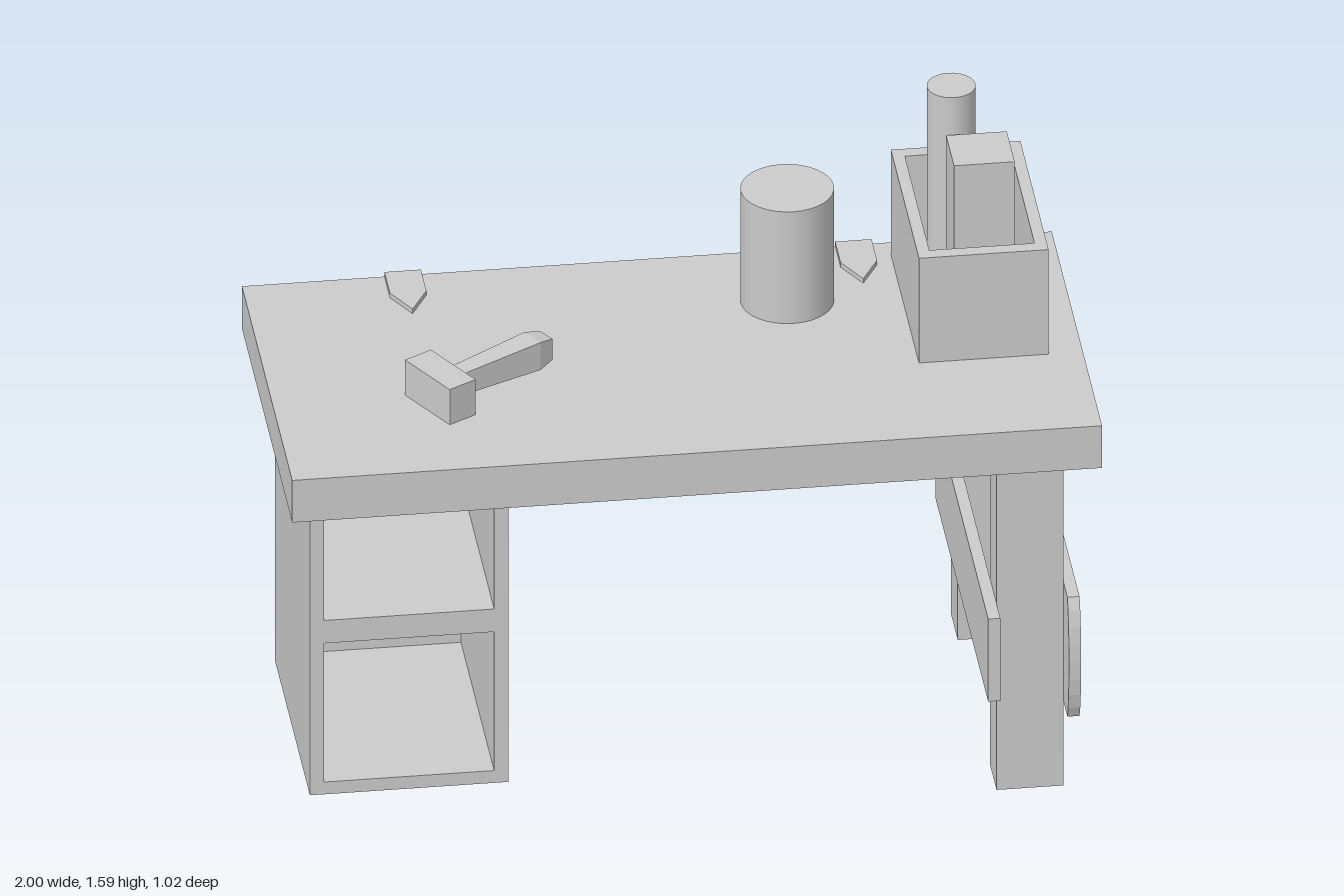
import * as THREE from 'three';

const material = new THREE.MeshStandardMaterial({ color: 0xcccccc, side: THREE.DoubleSide });
const FACES = ['right', 'left', 'top', 'bottom', 'front', 'back'];

function addMesh(parent, name, geometry) {
  const mesh = new THREE.Mesh(geometry, material);
  mesh.name = name;
  parent.add(mesh);
  return mesh;
}

// Box between two corners per axis; the faces listed in `open` are left out.
function addBox(parent, name, [x0, x1], [y0, y1], [z0, z1], open = []) {
  const geo = new THREE.BoxGeometry(x1 - x0, y1 - y0, z1 - z0);
  const index = Array.from(geo.index.array);
  geo.setIndex(index.filter((_, i) => !open.includes(FACES[Math.floor(i / 6)])));
  geo.clearGroups();
  geo.translate((x0 + x1) / 2, (y0 + y1) / 2, (z0 + z1) / 2);
  return addMesh(parent, name, geo);
}

function addCylinder(parent, name, radius, x, z, [y0, y1]) {
  const geo = new THREE.CylinderGeometry(radius, radius, y1 - y0, 32);
  geo.translate(x, (y0 + y1) / 2, z);
  return addMesh(parent, name, geo);
}

function rect(Type, x0, x1, y0, y1) {
  const s = new Type();
  s.moveTo(x0, y0).lineTo(x1, y0).lineTo(x1, y1).lineTo(x0, y1).closePath();
  return s;
}

// Extrudes an outline drawn in (x, -z) upwards from height y.
function extrudeUp(shape, y, height) {
  return new THREE.ExtrudeGeometry(shape, { depth: height, bevelEnabled: false })
    .rotateX(-Math.PI / 2).translate(0, y, 0);
}

function createCabinet() {
  const cabinet = new THREE.Group();
  cabinet.name = 'cabinet';
  const x = [-0.925, -0.435], z = [-0.445, 0.21];
  const inner = [-0.89, -0.47];
  const bays = [[0.035, 0.43], [0.495, 0.89]];
  addBox(cabinet, 'cabinetShell', x, [0, 0.92], z, ['top', 'bottom', 'front']);

  // Front frame around the two open bays
  const frame = rect(THREE.Shape, ...x, 0, 0.92);
  for (const bay of bays) {
    frame.holes.push(rect(THREE.Path, ...inner, ...bay));
    addBox(cabinet, 'cabinetBay', inner, bay, [-0.41, 0.21], ['front']);
  }
  addMesh(cabinet, 'cabinetFrame', new THREE.ShapeGeometry(frame).translate(0, 0, 0.21));

  // Recessed underside
  const base = new THREE.PlaneGeometry(x[1] - x[0], z[1] - z[0]).rotateX(Math.PI / 2);
  base.translate((x[0] + x[1]) / 2, 0.032, (z[0] + z[1]) / 2);
  addMesh(cabinet, 'cabinetBase', base);
  return cabinet;
}

function createTrestle() {
  const trestle = new THREE.Group();
  trestle.name = 'trestle';
  for (const [name, z] of [['frontLeg', [0.28, 0.405]], ['backLeg', [-0.445, -0.32]]]) {
    addBox(trestle, name, [0.745, 0.91], [0, 0.92], z, ['top', 'bottom']);
  }
  addBox(trestle, 'innerRail', [0.715, 0.745], [0.295, 0.53], [-0.51, 0.475]);

  // Outer rail with a bowed front end, drawn in (z, y) and turned to face sideways
  const s = new THREE.Shape();
  s.moveTo(-0.48, 0.24).lineTo(0.48, 0.24);
  s.bezierCurveTo(0.52, 0.31, 0.52, 0.51, 0.48, 0.58);
  s.lineTo(-0.48, 0.58).closePath();
  const geo = new THREE.ExtrudeGeometry(s, { depth: 0.03, bevelEnabled: false, curveSegments: 8 });
  geo.rotateY(-Math.PI / 2).translate(0.94, 0, 0);
  addMesh(trestle, 'outerRail', geo);
  return trestle;
}

function createHammer() {
  const hammer = new THREE.Group();
  hammer.name = 'hammer';
  addBox(hammer, 'hammerHead', [-0.04, 0.04], [-0.05, 0.05], [-0.09, 0.09]);

  // Handle swells towards the grip and narrows at its end: [x, width, height]
  const sections = [[0.03, 0.046, 0.058], [0.285, 0.064, 0.078], [0.328, 0.046, 0.06]];
  const geo = new THREE.BoxGeometry(2, 1, 1, 2, 1, 1);
  const p = geo.attributes.position;
  for (let i = 0; i < p.count; i++) {
    const [x, w, h] = sections[Math.round(p.getX(i)) + 1];
    p.setXYZ(i, x, p.getY(i) * h, p.getZ(i) * w);
  }
  const handle = geo.toNonIndexed();
  handle.computeVertexNormals();
  addMesh(hammer, 'hammerHandle', handle);

  hammer.position.set(-0.593, 1.092, 0.135);
  hammer.rotation.y = Math.PI / 6;
  return hammer;
}

function createCrate() {
  const crate = new THREE.Group();
  crate.name = 'crate';
  const walls = rect(THREE.Shape, 0.595, 0.915, -0.09, 0.435);
  walls.holes.push(rect(THREE.Path, 0.625, 0.885, -0.055, 0.4));
  addMesh(crate, 'crateWalls', extrudeUp(walls, 1.04, 0.3));
  addBox(crate, 'crateFloor', [0.625, 0.885], [1.04, 1.07], [-0.4, 0.055]);
  addCylinder(crate, 'crateRoll', 0.06, 0.727, -0.305, [1.07, 1.59]);
  addBox(crate, 'crateBlock', [0.705, 0.855], [1.07, 1.49], [-0.235, -0.088]);
  return crate;
}

export function createModel() {
  const model = new THREE.Group();
  model.name = 'workbench';
  addBox(model, 'tabletop', [-1, 1], [0.922, 1.042], [-0.492, 0.447]);
  model.add(createCabinet(), createTrestle(), createHammer(), createCrate());
  addCylinder(model, 'canister', 0.115, 0.315, -0.253, [1.04, 1.36]);

  // Flat pointed stops along the back edge
  for (const x of [-0.603, 0.51]) {
    const s = new THREE.Shape();
    s.moveTo(x - 0.045, 0.492).lineTo(x - 0.045, 0.39).lineTo(x, 0.307);
    s.lineTo(x + 0.045, 0.39).lineTo(x + 0.045, 0.492).closePath();
    addMesh(model, 'benchStop', extrudeUp(s, 1.04, 0.015));
  }
  return model;
}
